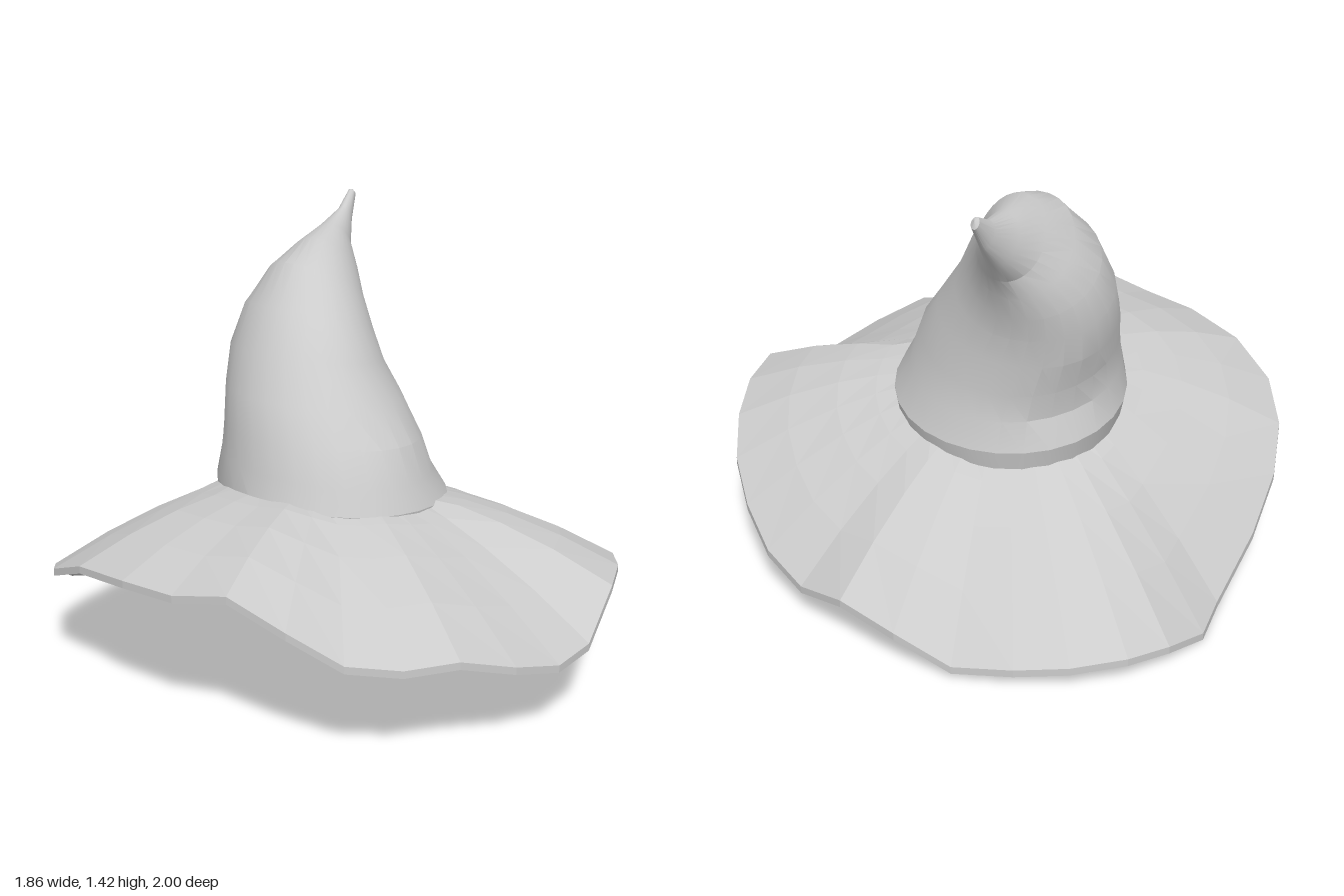
import * as THREE from 'three';
import { toCreasedNormals } from 'three/addons/utils/BufferGeometryUtils.js';

// Skin a list of closed rings (each an array of [x, y, z]) into a surface.
function skin(rings) {
  const n = rings[0].length;
  const index = [];
  for (let i = 0; i < rings.length - 1; i++) {
    for (let j = 0; j < n; j++) {
      const k = (j + 1) % n;
      const a = i * n + j, b = i * n + k, c = (i + 1) * n + k, d = (i + 1) * n + j;
      index.push(a, d, c, a, c, b);
    }
  }
  const geo = new THREE.BufferGeometry();
  geo.setAttribute('position', new THREE.Float32BufferAttribute(rings.flat(2), 3));
  geo.setIndex(index);
  geo.computeVertexNormals();
  return geo;
}

// Lower edge of the wavy rim: x, y, z, running from the back round by +x.
const RIM = [
  [-0.05, 0.06, -1], [0.13, 0.05, -0.98], [0.29, 0.035, -0.92], [0.46, 0.02, -0.83],
  [0.61, 0.1, -0.72], [0.74, 0.14, -0.56], [0.83, 0.09, -0.38], [0.9, 0.12, -0.19],
  [0.93, 0.18, 0.01], [0.93, 0.25, 0.2], [0.89, 0.32, 0.37], [0.82, 0.36, 0.54],
  [0.72, 0.37, 0.69], [0.58, 0.25, 0.82], [0.43, 0.25, 0.92], [0.26, 0.3, 0.975],
  [0.07, 0.36, 0.995], [-0.1, 0.35, 0.975], [-0.26, 0.36, 0.91], [-0.41, 0.45, 0.82],
  [-0.55, 0.53, 0.69], [-0.68, 0.49, 0.55], [-0.79, 0.48, 0.38], [-0.88, 0.45, 0.17],
  [-0.93, 0.37, -0.01], [-0.89, 0.3, -0.2], [-0.81, 0.2, -0.35], [-0.66, 0.1, -0.53],
  [-0.45, 0.01, -0.74], [-0.35, 0, -0.87], [-0.2, 0.045, -0.96],
];

// One ring of the brim: t = 0 inside the crown, t = 1 at the rim.
function brimRing(t, lift) {
  const cx = 0.03, cz = -0.03;
  return RIM.map(([x, y, z]) => {
    const len = Math.hypot(x - cx, z - cz);
    const dx = (x - cx) / len, dz = (z - cz) / len;
    const innerY = 0.545 - 0.04 * dx + 0.06 * dz;
    const arch = 0.12 * t * (1 - t);
    return [
      THREE.MathUtils.lerp(cx + 0.33 * dx, x, t),
      THREE.MathUtils.lerp(innerY, y, t) + arch + lift,
      THREE.MathUtils.lerp(cz + 0.33 * dz, z, t),
    ];
  });
}

// Crown sections: right x,y | left x,y | front z,y | back z,y.
const CROWN = [
  [-0.34, 0.48, 0.4, 0.44, 0.38, 0.5, -0.43, 0.39],
  [-0.355, 0.62, 0.41, 0.55, 0.4, 0.59, -0.465, 0.51],
  [-0.33, 0.71, 0.365, 0.64, 0.365, 0.67, -0.44, 0.61],
  [-0.315, 0.8, 0.33, 0.74, 0.315, 0.79, -0.445, 0.71],
  [-0.295, 0.9, 0.285, 0.85, 0.22, 0.91, -0.48, 0.83],
  [-0.255, 1.03, 0.245, 0.95, 0.13, 1.03, -0.5, 0.93],
  [-0.185, 1.15, 0.23, 1.03, 0.03, 1.15, -0.52, 1.03],
  [-0.08, 1.26, 0.225, 1.11, -0.12, 1.25, -0.515, 1.11],
  [0.03, 1.31, 0.235, 1.18, -0.26, 1.31, -0.515, 1.17],
  [0.14, 1.33, 0.25, 1.24, -0.41, 1.335, -0.55, 1.24],
  [0.235, 1.365, 0.285, 1.32, -0.53, 1.365, -0.585, 1.31],
  [0.295, 1.415, 0.32, 1.395, -0.6, 1.415, -0.63, 1.395],
  [0.31, 1.415, 0.312, 1.415, -0.62, 1.415, -0.622, 1.415],
];

// Tilted oval through the four extreme points, with slight cloth wrinkles.
function crownRing([rx, ry, lx, ly, fz, fy, bz, by], row) {
  const sides = 28;
  const cy = (ry + ly + fy + by) / 4;
  return Array.from({ length: sides }, (_, j) => {
    const a = (j / sides) * Math.PI * 2;
    const wrinkle = 1 + 0.012 * Math.sin(3 * a + row * 1.7);
    const c = Math.cos(a) * wrinkle, s = Math.sin(a) * wrinkle;
    return [
      (lx + rx) / 2 + (c * (lx - rx)) / 2,
      cy + (c * (ly - ry)) / 2 + (s * (fy - by)) / 2,
      (fz + bz) / 2 + (s * (fz - bz)) / 2,
    ];
  });
}

export function createModel() {
  const hat = new THREE.Group();
  hat.name = 'pointedHat';
  const cloth = (flatShading) => new THREE.MeshStandardMaterial({
    color: 0xcccccc, side: THREE.DoubleSide, flatShading,
  });

  // Wavy brim: underside outwards, round the hem, then back along the top
  const steps = [0, 0.2, 0.42, 0.7, 1];
  const under = steps.map((t) => brimRing(t, 0));
  const upper = steps.map((t) => brimRing(t, 0.025)).reverse();
  const brim = new THREE.Mesh(skin([...under, ...upper]), cloth(true));
  brim.name = 'brim';
  hat.add(brim);

  // Bent crown, ending in a small blunt tip
  const crown = new THREE.Mesh(toCreasedNormals(skin(CROWN.map(crownRing)), 0.35), cloth(false));
  crown.name = 'crown';
  hat.add(crown);

  return hat;
}
